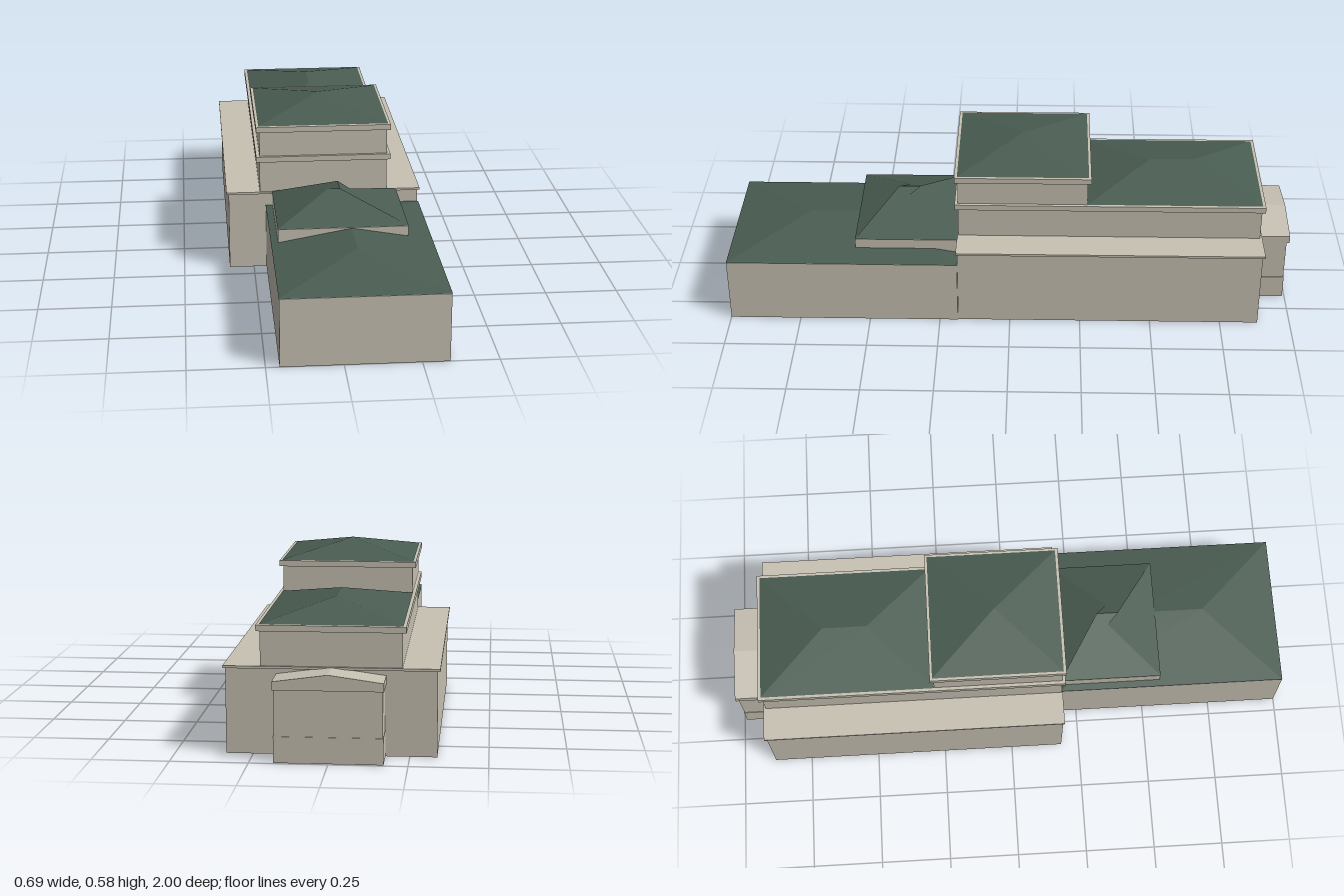
import * as THREE from 'three';

const stone = new THREE.MeshStandardMaterial({ color: 0xc8c2b4, side: THREE.DoubleSide });
stone.name = 'pale stone';
const slate = new THREE.MeshStandardMaterial({ color: 0x4a5d52, side: THREE.DoubleSide });
slate.name = 'green roofing';

// Box given by its limits; walls standing on the ground are left open below
function block(name, [x0, x1], [y0, y1], [z0, z1]) {
  const geo = new THREE.BoxGeometry(x1 - x0, y1 - y0, z1 - z0);
  geo.translate((x0 + x1) / 2, (y0 + y1) / 2, (z0 + z1) / 2);
  if (y0 === 0) {
    const index = Array.from(geo.index.array);
    index.splice(18, 6); // downward face
    geo.setIndex(index);
    geo.clearGroups();
  }
  const mesh = new THREE.Mesh(geo, stone);
  mesh.name = name;
  return mesh;
}

// Hip roof with its ridge along z; each hip runs back by half the width.
// On a plan wider than deep the two hips cross and overlap.
function hipRoof(name, [x0, x1], [y0, y1], [z0, z1]) {
  const cx = (x0 + x1) / 2, run = (x1 - x0) / 2;
  const bl = [x0, y0, z0], br = [x1, y0, z0], fl = [x0, y0, z1], fr = [x1, y0, z1];
  const back = [cx, y1, z0 + run], front = [cx, y1, z1 - run];
  const corners = [
    fl, fr, front,
    br, bl, back,
    bl, fl, front, bl, front, back,
    fr, br, back, fr, back, front,
  ];
  const geo = new THREE.BufferGeometry();
  geo.setAttribute('position', new THREE.Float32BufferAttribute(corners.flat(), 3));
  geo.computeVertexNormals();
  const mesh = new THREE.Mesh(geo, slate);
  mesh.name = name;
  return mesh;
}

// Rear porch with a plinth and a shallow pediment
function rearPorch() {
  const porch = new THREE.Group();
  porch.name = 'rearPorch';
  porch.add(block('porchPlinth', [-0.173, 0.173], [0, 0.085], [-0.992, -0.885]));
  porch.add(block('porchWalls', [-0.171, 0.171], [0.085, 0.235], [-0.99, -0.885]));
  const gable = new THREE.Shape([
    [-0.175, 0.235], [0.175, 0.235], [0.175, 0.262], [0, 0.286], [-0.175, 0.262],
  ].map(([x, y]) => new THREE.Vector2(x, y)));
  const geo = new THREE.ExtrudeGeometry(gable, { depth: 0.115, bevelEnabled: false });
  geo.translate(0, 0, -1);
  const pediment = new THREE.Mesh(geo, stone);
  pediment.name = 'porchPediment';
  porch.add(pediment);
  return porch;
}

export function createModel() {
  const model = new THREE.Group();
  model.name = 'building';
  model.add(
    // Main hall: broad ground floor, narrower upper floor, square tower at its front end
    block('groundFloorWalls', [-0.337, 0.337], [0, 0.279], [-0.885, 0.185]),
    block('groundFloorCornice', [-0.345, 0.345], [0.279, 0.287], [-0.893, 0.19]),
    block('upperFloorWalls', [-0.226, 0.226], [0.287, 0.4], [-0.885, 0.185]),
    block('upperFloorCornice', [-0.238, 0.238], [0.4, 0.42], [-0.896, 0.196]),
    hipRoof('upperFloorRoof', [-0.228, 0.228], [0.421, 0.476], [-0.886, -0.272]),
    block('towerWalls', [-0.226, 0.226], [0.42, 0.51], [-0.271, 0.185]),
    block('towerCornice', [-0.238, 0.238], [0.51, 0.53], [-0.283, 0.196]),
    hipRoof('towerRoof', [-0.229, 0.229], [0.531, 0.583], [-0.274, 0.186]),
    rearPorch(),
    // Low front wing
    block('frontWingWalls', [-0.205, 0.34], [0, 0.234], [0.186, 1]),
    hipRoof('frontWingRoof', [-0.206, 0.341], [0.235, 0.284], [0.186, 1]),
    // Link pavilion rising through the front wing
    block('pavilionWalls', [-0.182, 0.258], [0, 0.286], [0.186, 0.55]),
    hipRoof('pavilionRoof', [-0.183, 0.259], [0.287, 0.373], [0.186, 0.55]),
  );
  return model;
}
